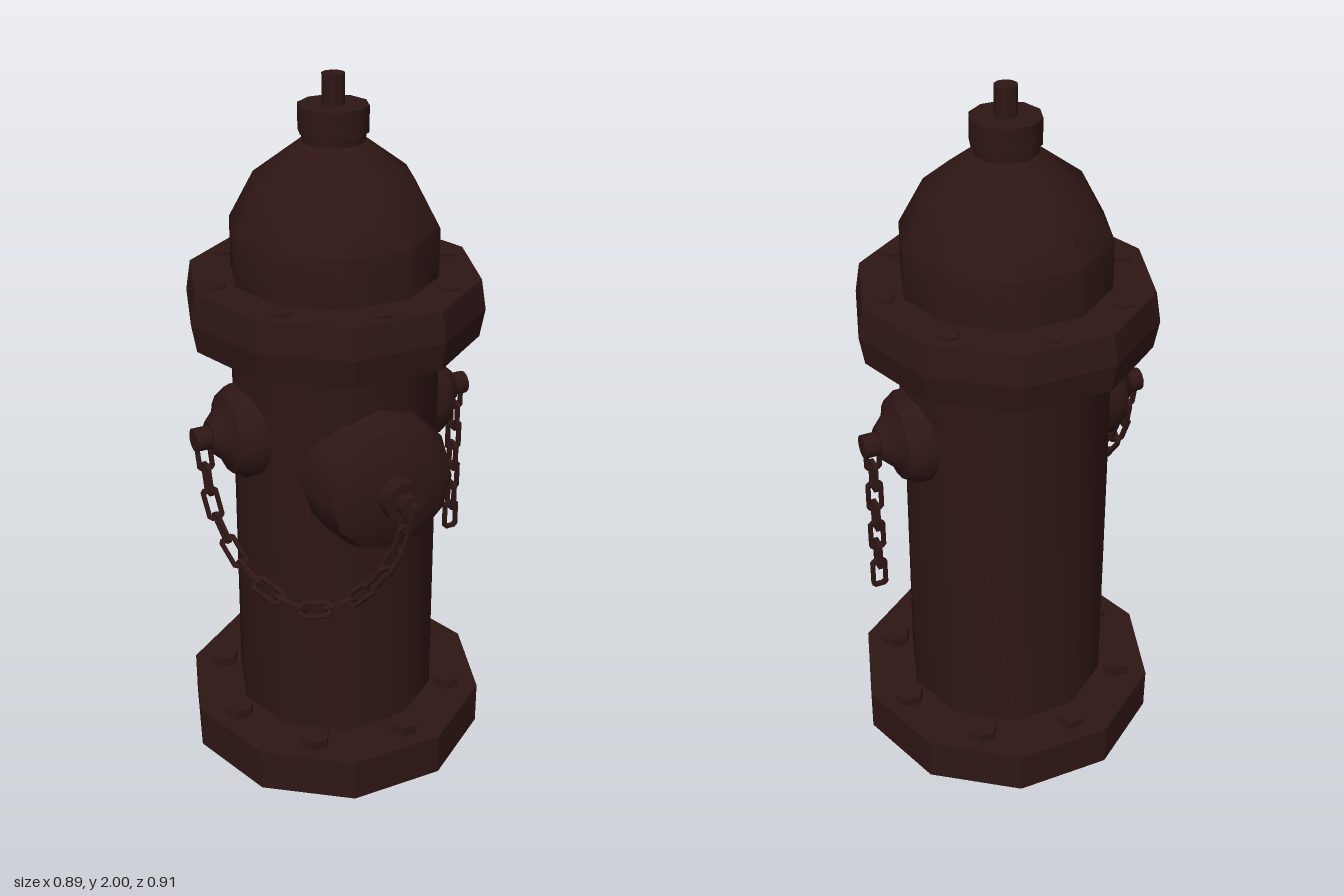
import * as THREE from 'three';
import { toCreasedNormals } from 'three/addons/utils/BufferGeometryUtils.js';

const paint = new THREE.MeshStandardMaterial({ color: 0x2e1614, side: THREE.DoubleSide });
const SMOOTH = 0.72, FACETED = 0.1;

// Turned part: profile of [radius, height] points from bottom to top
function turned(name, profile, sides, crease) {
  const geo = new THREE.LatheGeometry(profile.map(([r, y]) => new THREE.Vector2(r, y)), sides);
  geo.rotateY(Math.PI / 2); // a corner on each side
  const mesh = new THREE.Mesh(toCreasedNormals(geo, crease), paint);
  mesh.name = name;
  return mesh;
}

// Ring of hexagonal bolt heads
function boltRing(name, ringRadius, boltRadius, y, height, startDeg) {
  const ring = new THREE.Group();
  ring.name = name;
  const geo = toCreasedNormals(
    new THREE.CylinderGeometry(boltRadius, boltRadius, height, 6).rotateY(Math.PI / 2), FACETED);
  for (let i = 0; i < 8; i++) {
    const a = THREE.MathUtils.degToRad(startDeg + i * 45);
    const bolt = new THREE.Mesh(geo, paint);
    bolt.name = 'bolt';
    bolt.position.set(Math.cos(a) * ringRadius, y + height / 2, Math.sin(a) * ringRadius);
    ring.add(bolt);
  }
  return ring;
}

// Oblong outline with clipped corners
function oblong(target, w, h, c) {
  target.moveTo(-w + c, -h);
  [[w - c, -h], [w, -h + c], [w, h - c], [w - c, h], [-w + c, h], [-w, h - c], [-w, -h + c], [-w + c, -h]]
    .forEach(([x, y]) => target.lineTo(x, y));
  return target;
}

function linkGeometry() {
  const shape = oblong(new THREE.Shape(), 0.024, 0.047, 0.009);
  shape.holes.push(oblong(new THREE.Path(), 0.013, 0.036, 0.005));
  return new THREE.ExtrudeGeometry(shape, { depth: 0.012, bevelEnabled: false }).translate(0, 0, -0.006);
}

// Links strung along a curve, every second one turned a quarter
function chain(name, curve, geo) {
  const group = new THREE.Group();
  group.name = name;
  const count = Math.round(curve.getLength() / 0.073);
  const up = new THREE.Vector3(0, 1, 0);
  for (let i = 0; i < count; i++) {
    const t = (i + 0.5) / count;
    const link = new THREE.Mesh(geo, paint);
    link.name = 'chainLink';
    link.position.copy(curve.getPointAt(t));
    link.quaternion.setFromUnitVectors(up, curve.getTangentAt(t).negate());
    link.rotateY(i % 2 ? Math.PI / 2 : 0);
    group.add(link);
  }
  return group;
}

export function createModel() {
  const model = new THREE.Group();
  model.name = 'fireHydrant';

  // Upright parts share one axis, slightly behind the centre
  const column = new THREE.Group();
  column.name = 'column';
  column.position.z = -0.033;
  model.add(column);
  column.add(
    // hollow foot, open underneath
    turned('baseFlange', [[0.445, 0], [0.445, 0.13], [0.295, 0.13]], 10, FACETED),
    turned('barrel', [[0.297, 0.13], [0.293, 1.32]], 10, SMOOTH),
    turned('topFlange', [[0.29, 1.30], [0.402, 1.30], [0.416, 1.38], [0.402, 1.465], [0.28, 1.465]], 10, FACETED),
    turned('bonnet', [[0.287, 1.46], [0.287, 1.6], [0.217, 1.73], [0.09, 1.825], [0, 1.835]], 10, SMOOTH),
    turned('cap', [[0.085, 1.815], [0.087, 1.85], [0.095, 1.85], [0.095, 1.92], [0, 1.92]], 10, SMOOTH),
    turned('operatingNut', [[0.031, 1.91], [0.031, 2], [0, 2]], 10, SMOOTH),
    boltRing('baseBolts', 0.35, 0.043, 0.125, 0.035, 80),
    boltRing('flangeBolts', 0.336, 0.03, 1.46, 0.013, 4.3)
  );

  // Side outlets, mirrored left and right
  for (const side of [1, -1]) {
    const outlet = new THREE.Group();
    outlet.name = side > 0 ? 'leftOutlet' : 'rightOutlet';
    outlet.add(
      turned('outletCap', [[0.133, 0.24], [0.133, 0.295], [0.112, 0.33], [0.085, 0.337], [0.045, 0.38], [0, 0.38]], 16, SMOOTH),
      turned('outletNut', [[0.033, 0.37], [0.033, 0.425], [0, 0.425]], 10, SMOOTH)
    );
    outlet.position.set(0, 1.04, -0.033);
    outlet.rotation.z = -side * Math.PI / 2;
    model.add(outlet);
  }

  // Large front outlet
  const front = new THREE.Group();
  front.name = 'frontOutlet';
  front.add(
    turned('outletCap', [[0.2, 0.15], [0.2, 0.28], [0.18, 0.33], [0.13, 0.355], [0, 0.36]], 12, SMOOTH),
    turned('outletNut', [[0.06, 0.34], [0.06, 0.405], [0, 0.405]], 10, SMOOTH),
    turned('outletPin', [[0.031, 0.4], [0.031, 0.437], [0, 0.437]], 10, SMOOTH)
  );
  front.position.y = 0.965;
  front.rotation.x = Math.PI / 2;
  model.add(front);

  // One chain loops to the front outlet, the other hangs free
  const link = linkGeometry();
  const loop = new THREE.CatmullRomCurve3([
    [-0.4, 1.03, -0.033], [-0.385, 0.82, 0.01], [-0.325, 0.66, 0.13], [-0.22, 0.6, 0.25],
    [-0.11, 0.66, 0.335], [-0.03, 0.81, 0.405], [0, 0.97, 0.43]
  ].map((p) => new THREE.Vector3(...p)));
  const drop = new THREE.LineCurve3(new THREE.Vector3(0.397, 1.04, -0.033), new THREE.Vector3(0.397, 0.56, -0.033));
  model.add(chain('loopedChain', loop, link), chain('hangingChain', drop, link));
  return model;
}
